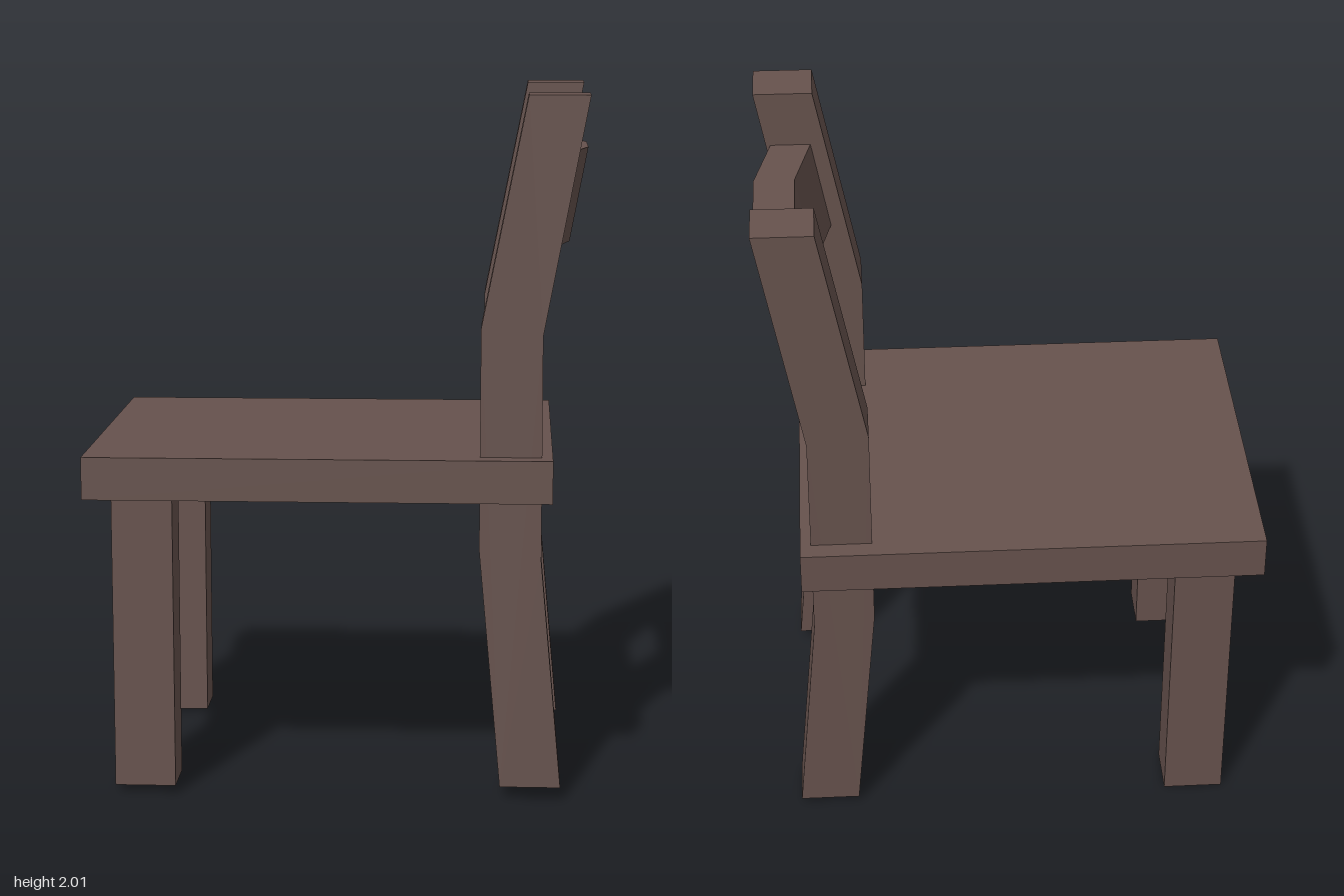
import * as THREE from 'three';

export function createModel() {
  const wood = new THREE.MeshStandardMaterial({ color: 0x66524d });
  wood.name = 'darkWood';

  const model = new THREE.Group();
  model.name = 'chair';
  // the whole chair leans very slightly
  model.rotation.set(-0.0235, -0.011, 0.004);

  const midZ = 0.019;      // centre line between the legs
  const legWidth = 0.15;

  const add = (name, geometry, x, y, z) => {
    const mesh = new THREE.Mesh(geometry, wood);
    mesh.name = name;
    mesh.position.set(x, y, z);
    model.add(mesh);
  };
  const shapeOf = (points) => new THREE.Shape(points.map(([x, y]) => new THREE.Vector2(x, y)));

  // seat board
  add('seat', new THREE.BoxGeometry(1.325, 0.122, 1.07), -0.044, 0.916, midZ);

  // bent rear post outline in x, y
  const post = shapeOf([
    [0.475, 0.019], [0.648, 0.019], [0.588, 0.68], [0.588, 1.32],
    [0.713, 1.987], [0.543, 1.987], [0.415, 1.34], [0.413, 0.71],
  ]);
  for (const side of [-1, 1]) {
    const label = side > 0 ? 'left' : 'right';
    const z = midZ + side * 0.405;
    add(label + 'FrontLeg', new THREE.BoxGeometry(0.174, 0.88, legWidth), -0.544, 0.447, z);
    add(label + 'BackPost',
      new THREE.ExtrudeGeometry(post, { depth: legWidth, bevelEnabled: false }), 0, 0, z - legWidth / 2);
  }

  // bowed back slat: plan outline in x, z, extruded down and leaned with the posts
  const height = 0.272, lean = 0.19;
  const bow = [[0.545, -0.36], [0.6, -0.115], [0.6, 0.115], [0.545, 0.36]];
  const plan = shapeOf([...bow, ...bow.map(([x, z]) => [x + 0.116, z]).reverse()]);
  const slat = new THREE.ExtrudeGeometry(plan, { depth: height, bevelEnabled: false });
  slat.rotateX(Math.PI / 2);
  const p = slat.attributes.position;
  for (let i = 0; i < p.count; i++) p.setX(i, p.getX(i) + lean * p.getY(i));
  slat.computeVertexNormals();
  add('backSlat', slat, 0, 1.822, midZ + 0.006);

  return model;
}
